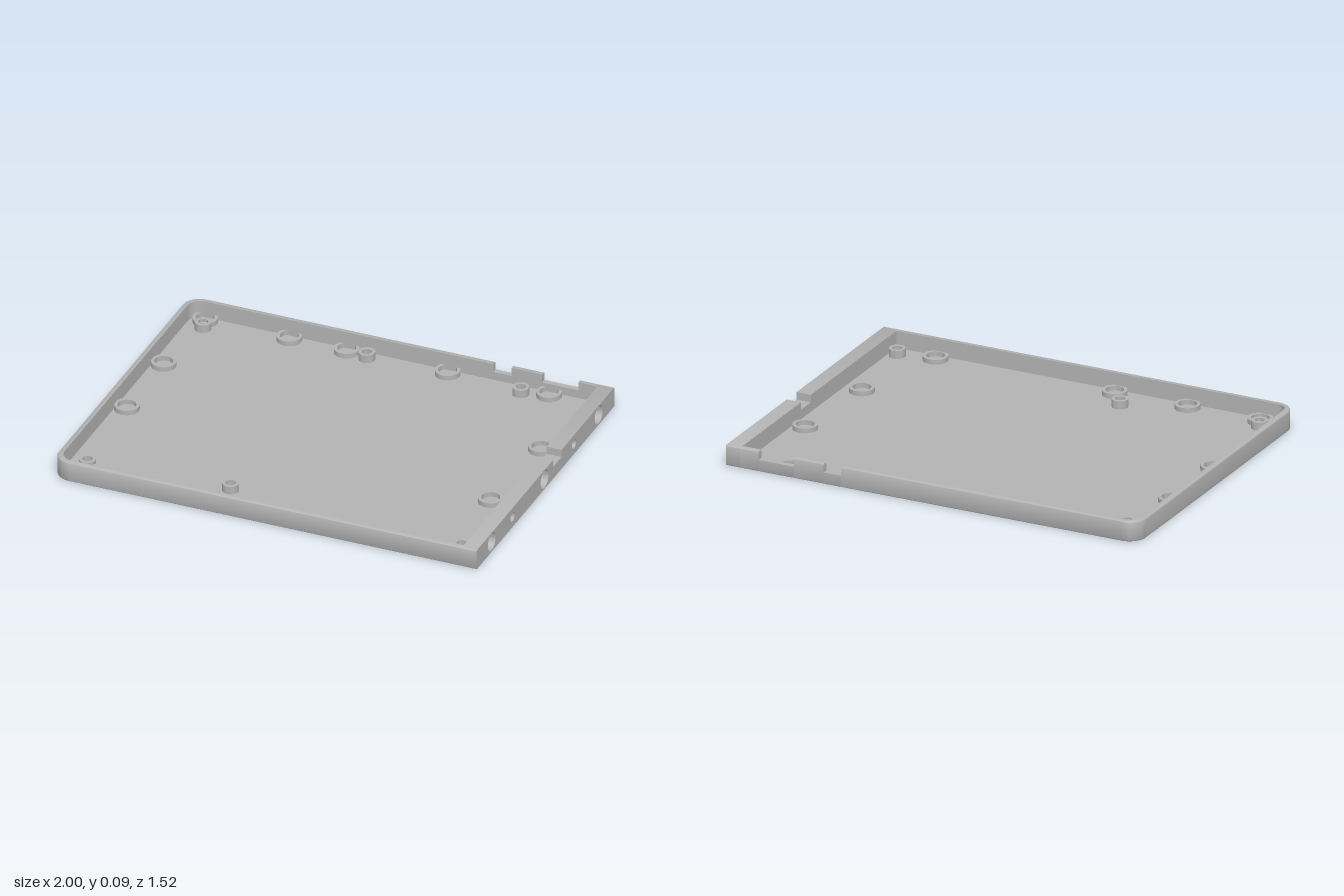
import * as THREE from 'three';
import { toCreasedNormals } from 'three/addons/utils/BufferGeometryUtils.js';

const H = 0.095, D = 0.762, R = 0.08, T = 0.025, FLOOR = 0.016, INNER = 0.93;
const CX = -1 + R, CZ = D - R; // centre of the rounded corners

// Wall cross-section: u runs inward from the outer face, with small rounded outer edges
function section(top) {
  const f = 0.009, pts = [];
  for (let i = 0; i <= 4; i++) {
    const a = (i / 4) * Math.PI / 2;
    pts.push([f - f * Math.sin(a), f - f * Math.cos(a)]);
  }
  if (top < H) pts.push([0, top]);
  else for (let i = 0; i <= 4; i++) {
    const a = (i / 4) * Math.PI / 2;
    pts.push([f - f * Math.cos(a), top - f + f * Math.sin(a)]);
  }
  pts.push([T, top], [T, 0]);
  return pts;
}

function extrude(shape, depth) {
  const g = new THREE.ExtrudeGeometry(shape, { depth, bevelEnabled: false, curveSegments: 16 });
  return toCreasedNormals(g, 0.6);
}

const polygon = (pts) => new THREE.Shape(pts.map(([x, y]) => new THREE.Vector2(x, y)));

function circleHole(shape, x, y, r) {
  shape.holes.push(new THREE.Path().absarc(x, y, r, 0, Math.PI * 2, true));
}

export function createModel() {
  const group = new THREE.Group();
  const grey = new THREE.MeshStandardMaterial({ color: 0xb2b2b2 });
  grey.name = 'grey';
  const add = (name, geometry) => {
    const mesh = new THREE.Mesh(geometry, grey);
    mesh.name = name;
    group.add(mesh);
    return mesh;
  };
  // Extrusion along x, where shape x is -z
  const alongX = (name, shape, x0, x1) =>
    add(name, extrude(shape, x1 - x0).rotateY(Math.PI / 2).translate(x0, 0, 0));

  // Floor plate, rounded at the two corners away from the thick wall
  const zi = D - T, ri = R - T;
  const floor = new THREE.Shape();
  floor.moveTo(INNER, -zi);
  floor.lineTo(INNER, zi);
  floor.lineTo(CX, zi);
  floor.absarc(CX, CZ, ri, Math.PI / 2, Math.PI, false);
  floor.lineTo(-1 + T, -CZ);
  floor.absarc(CX, -CZ, ri, Math.PI, Math.PI * 1.5, false);
  add('floor', extrude(floor, FLOOR).rotateX(-Math.PI / 2));

  // Thin walls; the back one is lowered at two notches
  alongX('frontWall', polygon(section(H).map(([u, y]) => [u - D, y])), CX, INNER);
  const backCuts = [CX, 0.44, 0.525, 0.67, 0.84, INNER];
  for (let i = 0; i < 5; i++) {
    const top = i % 2 ? 0.055 : H;
    alongX(i % 2 ? 'backNotch' : 'backWall',
      polygon(section(top).map(([u, y]) => [D - u, y])), backCuts[i], backCuts[i + 1]);
  }
  add('sideWall', extrude(polygon(section(H).map(([u, y]) => [u - 1, y])), 2 * CZ).translate(0, 0, -CZ));

  // Rounded corners
  for (const s of [1, -1]) {
    const pts = section(H).map(([u, y]) => new THREE.Vector2(R - u, y));
    pts.push(pts[0].clone());
    const g = new THREE.LatheGeometry(pts, 12, s > 0 ? Math.PI * 1.5 : Math.PI, Math.PI / 2);
    add('corner', toCreasedNormals(g, 0.6).translate(CX, 0, s * CZ));
  }

  // Thick end wall with a top notch and blind holes in its outer face
  const endShape = () => {
    const f = 0.009, s = new THREE.Shape();
    s.moveTo(-D + f, 0);
    s.lineTo(D - f, 0);
    s.absarc(D - f, f, f, -Math.PI / 2, 0, false);
    s.lineTo(D, H - f);
    s.absarc(D - f, H - f, f, 0, Math.PI / 2, false);
    s.lineTo(0.177, H);
    s.lineTo(0.177, 0.06);
    s.lineTo(0.083, 0.06);
    s.lineTo(0.083, H);
    s.lineTo(-D + f, H);
    s.absarc(-D + f, H - f, f, Math.PI / 2, Math.PI, false);
    s.lineTo(-D, f);
    s.absarc(-D + f, f, f, Math.PI, Math.PI * 1.5, false);
    return s;
  };
  const outer = endShape();
  for (const z of [0.593, 0.01, -0.588]) circleHole(outer, -z, 0.05, 0.043);
  for (const z of [0.363, -0.315]) circleHole(outer, -z, 0.05, 0.022);
  alongX('endWallInner', endShape(), INNER, 0.96);
  alongX('endWallOuter', outer, 0.96, 1);

  // Ring-shaped seats and screw bosses standing on the floor
  const ring = (name, x, z, r, hole, height) => {
    const s = new THREE.Shape().absarc(0, 0, r, 0, Math.PI * 2, false);
    circleHole(s, 0, 0, hole);
    add(name, extrude(s, height).rotateX(-Math.PI / 2).translate(x, FLOOR, z));
  };
  const seats = [
    [-0.903, -0.705], [-0.507, -0.705], [-0.237, -0.705], [0.239, -0.705], [0.716, -0.705],
    [-0.922, -0.29], [-0.922, 0.115], [0.866, -0.265], [0.838, 0.224],
    [-0.86, 0.69], [-0.507, 0.69], [-0.154, 0.69], [0.716, 0.69],
  ];
  const bosses = [
    [-0.887, -0.644], [-0.134, -0.686], [0.597, -0.672],
    [-0.887, 0.631], [-0.236, 0.577], [0.885, 0.657],
  ];
  for (const [x, z] of seats) ring('ringSeat', x, z, 0.056, 0.041, 0.022);
  for (const [x, z] of bosses) ring('screwBoss', x, z, 0.037, 0.022, 0.037);

  return group;
}
